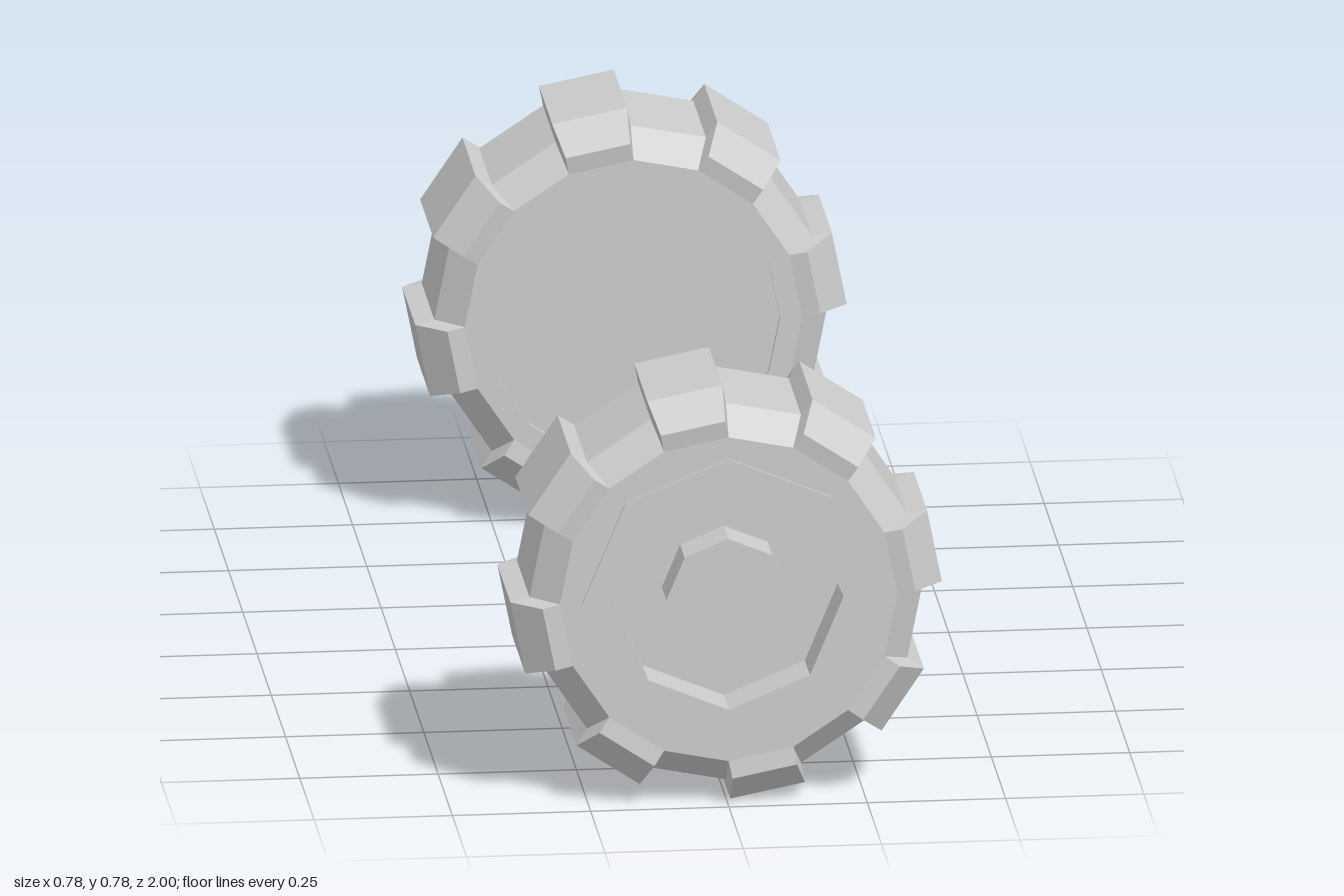
import * as THREE from 'three';

const material = new THREE.MeshStandardMaterial({ color: 0xcccccc, flatShading: true });
const SECTORS = 16;
const STEP = (Math.PI * 2) / SECTORS;

// Turned part around the z axis; profile points are [radius, z] from back to front
function turned(name, profile, sides) {
  const points = profile.map(([r, z]) => new THREE.Vector2(r, z));
  const geometry = new THREE.LatheGeometry(points, sides).rotateX(Math.PI / 2);
  const mesh = new THREE.Mesh(geometry, material);
  mesh.name = name;
  return mesh;
}

// Tread: chamfered band whose every second sector carries a raised lug
function tread() {
  const base = [[0.305, 0.16], [0.355, 0.11], [0.355, -0.11], [0.305, -0.16]];
  const lug = [[0.337, 0.165], [0.39, 0.115], [0.39, -0.115], [0.337, -0.165]];
  const positions = [];
  const quad = (a, b, c, d) => [a, b, c, a, c, d].forEach((p) => positions.push(...p));
  const section = (profile, angle) =>
    profile.map(([r, z]) => [r * Math.cos(angle), r * Math.sin(angle), z]);
  const strip = (from, to) => {
    for (let i = 0; i < from.length - 1; i++) quad(from[i], from[i + 1], to[i + 1], to[i]);
  };

  for (let k = 0; k < SECTORS; k++) {
    // Counter-clockwise from the top of the wheel
    const start = Math.PI / 2 + k * STEP;
    const b0 = section(base, start);
    const b1 = section(base, start + STEP);
    if (k % 2) {
      strip(b0, b1);
      continue;
    }
    const inset = 0.019;
    const t0 = section(lug, start + inset);
    const t1 = section(lug, start + STEP - inset);
    strip(t0, t1);
    strip(b0, t0);
    strip(t1, b1);
    // Sidewall feet of the lug
    quad(b0[0], t0[0], t1[0], b1[0]);
    quad(b1[3], t1[3], t0[3], b0[3]);
  }

  const geometry = new THREE.BufferGeometry();
  geometry.setAttribute('position', new THREE.Float32BufferAttribute(positions, 3));
  geometry.computeVertexNormals();
  const mesh = new THREE.Mesh(geometry, material);
  mesh.name = 'tread';
  return mesh;
}

// Wheel with its hub facing +z
function createWheel(name) {
  const wheel = new THREE.Group();
  wheel.name = name;
  wheel.add(
    tread(),
    turned('innerDisc', [[0, -0.15], [0.265, -0.15], [0.265, -0.16], [0.305, -0.16]], SECTORS),
    turned('outerSidewall', [[0.305, 0.16], [0.24, 0.16]], SECTORS),
    // Octagonal rim, recess and hub cap
    turned('rimAndHub', [
      [0.265, 0.15], [0.265, 0.165], [0.207, 0.165], [0.207, 0.075],
      [0.112, 0.075], [0.112, 0.155], [0, 0.155],
    ], 8),
  );
  return wheel;
}

export function createModel() {
  const model = new THREE.Group();
  model.name = 'wheelPair';
  for (const side of [1, -1]) {
    const wheel = createWheel(side > 0 ? 'frontWheel' : 'backWheel');
    wheel.position.set(0, 0.39, side * 0.835);
    wheel.scale.z = side; // mirrored so both hubs face outwards
    model.add(wheel);
  }
  return model;
}
